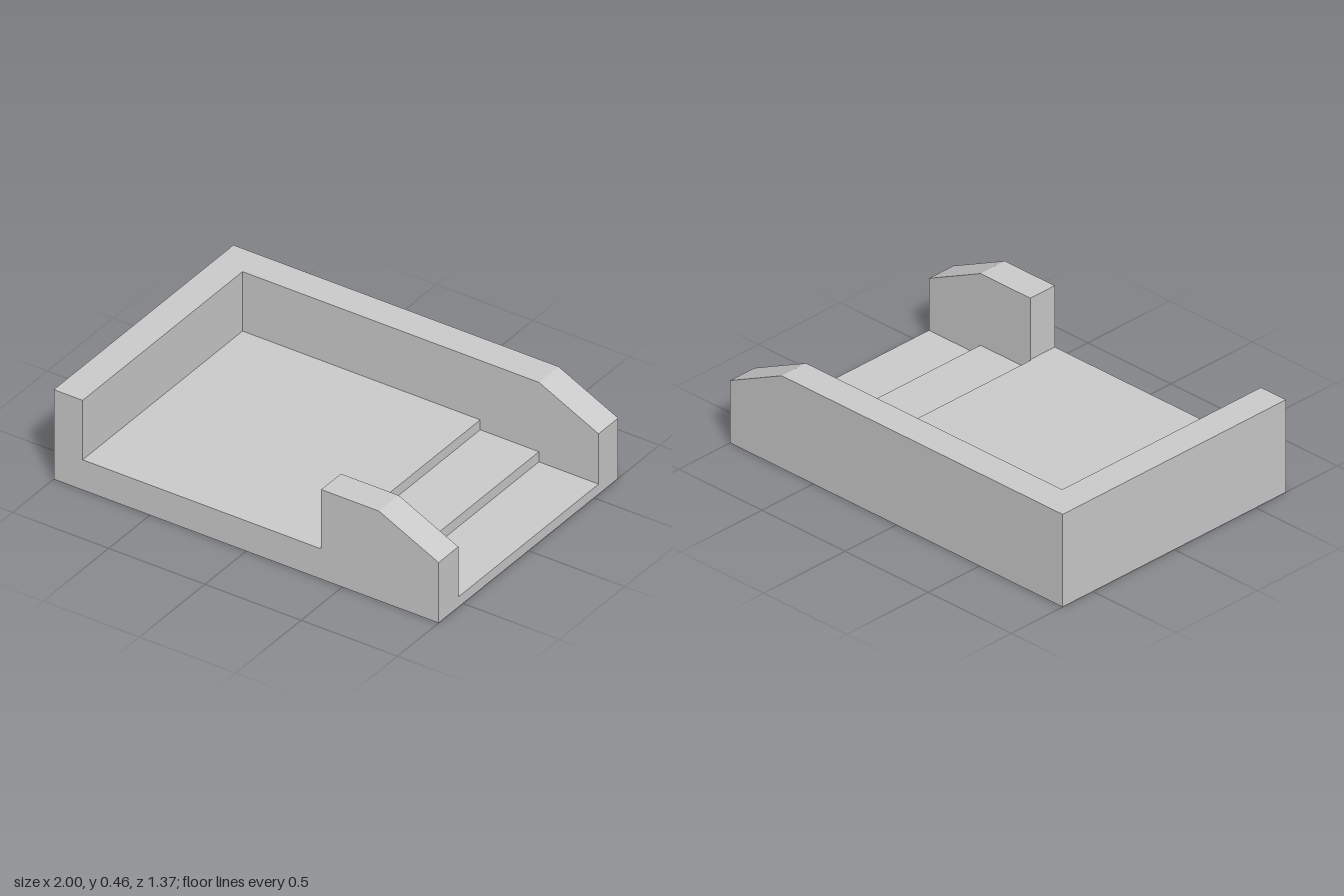
import * as THREE from 'three';

const W = 1, D = 0.685, H = 0.46, T = 0.15; // half width, half depth, wall height, wall thickness
const FLOOR = 0.155, END = 0.31, SLOPE = 0.69; // floor height, low wall end, start of slope

export function createModel() {
  const group = new THREE.Group();
  const material = new THREE.MeshStandardMaterial({ color: 0xcccccc, flatShading: true });

  // Extrudes a side profile (x, y) between two depths
  function slab(name, points, z0, z1) {
    const shape = new THREE.Shape(points.map(([x, y]) => new THREE.Vector2(x, y)));
    const geometry = new THREE.ExtrudeGeometry(shape, { depth: z1 - z0, bevelEnabled: false });
    geometry.translate(0, 0, z0);
    const mesh = new THREE.Mesh(geometry, material);
    mesh.name = name;
    group.add(mesh);
  }

  // Full-length back wall with a sloped end
  slab('backWall', [[-W, 0], [W, 0], [W, END], [SLOPE, H], [-W, H]], -D, -D + T);

  // End wall, raised floor and two steps down to the open end
  slab('floorAndSteps', [
    [-W, 0], [W, 0], [W, 0.052], [SLOPE, 0.052], [SLOPE, 0.104],
    [0.385, 0.104], [0.385, FLOOR], [-W + T, FLOOR], [-W + T, H], [-W, H],
  ], -D + T, D - T);

  // Front wall with a wide opening down to the floor
  slab('frontWall', [
    [-W, 0], [W, 0], [W, END], [SLOPE, H], [0.39, H],
    [0.39, FLOOR], [-W + T, FLOOR], [-W + T, H], [-W, H],
  ], D - T, D);

  return group;
}
